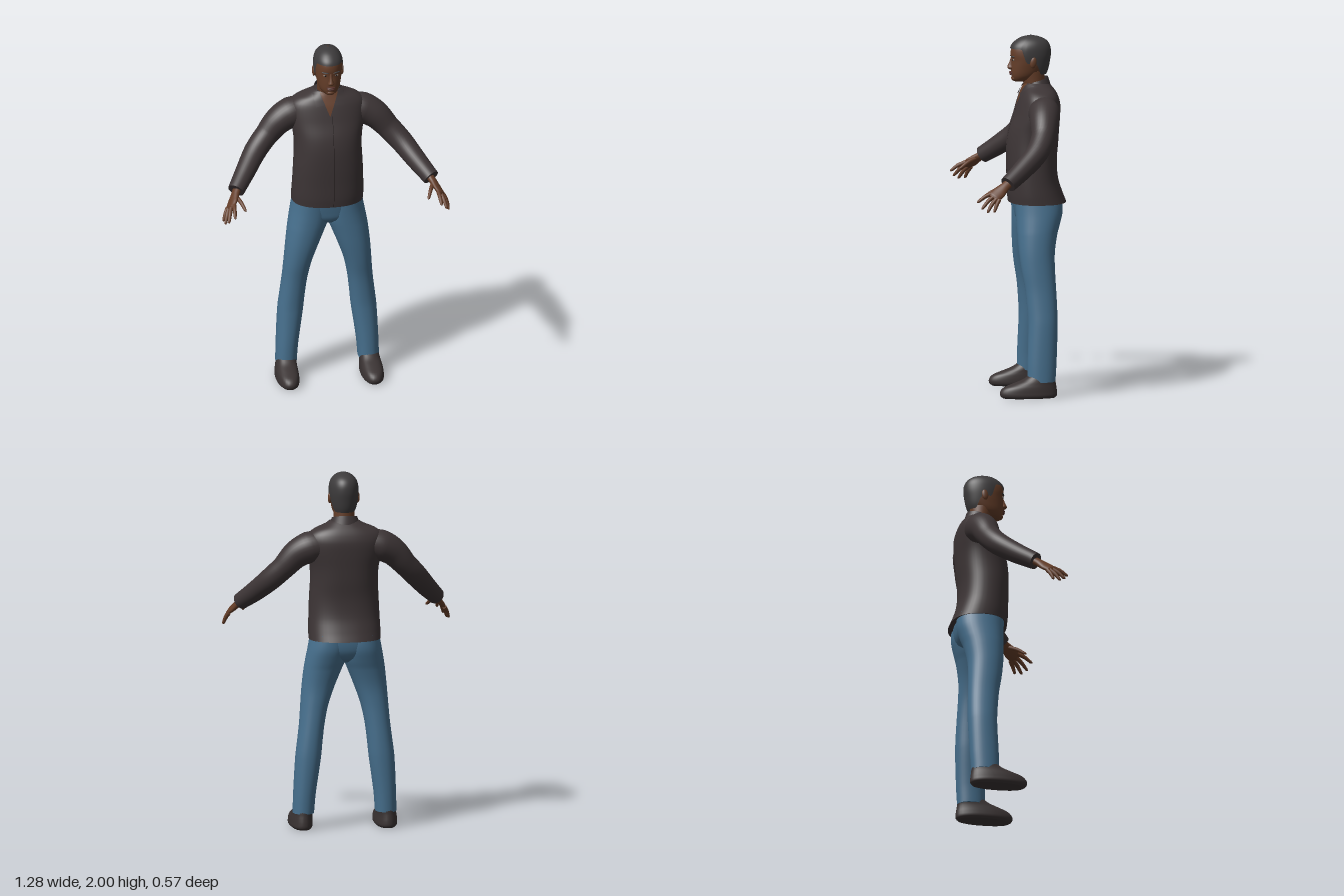
import * as THREE from 'three';

const mat = (name, color, side = THREE.FrontSide) => {
  const m = new THREE.MeshStandardMaterial({ color, side });
  m.name = name;
  return m;
};
const V = (x, y, z) => new THREE.Vector3(x, y, z);

// Closed or open surface through a list of rings, each an array of points
function skinRings(rings, caps = true) {
  const n = rings[0].length, pos = [], idx = [];
  const add = (p) => pos.push(p.x, p.y, p.z) / 3 - 1;
  rings.forEach((r) => r.forEach(add));
  for (let i = 0; i < rings.length - 1; i++) {
    for (let j = 0; j < n; j++) {
      const a = i * n + j, b = i * n + ((j + 1) % n);
      idx.push(a, a + n, b, b, a + n, b + n);
    }
  }
  if (caps) {
    [rings[0], rings[rings.length - 1]].forEach((r, top) => {
      const c = add(r.reduce((s, p) => s.add(p), V(0, 0, 0)).divideScalar(n));
      const start = r.map(add)[0];
      for (let j = 0; j < n; j++) {
        const a = start + j, b = start + ((j + 1) % n);
        if (top) idx.push(c, b, a); else idx.push(c, a, b);
      }
    });
  }
  return finish(pos, idx);
}

function finish(pos, idx) {
  const g = new THREE.BufferGeometry();
  g.setAttribute('position', new THREE.Float32BufferAttribute(pos, 3));
  g.setIndex(idx);
  g.computeVertexNormals();
  return g;
}

// Rows are [y, xMin, xMax, zBack, zFront]; smooth interpolation at height y
function sample(rows, y) {
  let i = 0;
  while (i < rows.length - 2 && y > rows[i + 1][0]) i++;
  const a = rows[i], b = rows[i + 1], p = rows[i - 1] || a, q = rows[i + 2] || b;
  const h = b[0] - a[0], t = THREE.MathUtils.clamp((y - a[0]) / h, 0, 1);
  return a.map((_, k) => {
    const m0 = (b[k] - p[k]) / (b[0] - p[0]) * h, m1 = (q[k] - a[k]) / (q[0] - a[0]) * h;
    return (2 * t ** 3 - 3 * t * t + 1) * a[k] + (t ** 3 - 2 * t * t + t) * m0
      + (3 * t * t - 2 * t ** 3) * b[k] + (t ** 3 - t * t) * m1;
  });
}
const pw = (v, n) => Math.sign(v) * Math.abs(v) ** (2 / n);
function pointAt(rows, y, a, n) {
  const [, x0, x1, z0, z1] = sample(rows, y);
  return V((x0 + x1) / 2 + (x1 - x0) / 2 * pw(Math.cos(a), n), y,
    (z0 + z1) / 2 + (z1 - z0) / 2 * pw(Math.sin(a), n));
}
const angles = (seg) => Array.from({ length: seg }, (_, j) => j / seg * Math.PI * 2);
function loft(rows, n = 2, seg = 36) {
  const ys = [rows[0][0]];
  for (let i = 1; i < rows.length; i++) {
    for (let k = 1; k <= 4; k++) ys.push(THREE.MathUtils.lerp(rows[i - 1][0], rows[i][0], k / 4));
  }
  return skinRings(ys.map((y) => angles(seg).map((a) => pointAt(rows, y, a, n))));
}
function frontZ(rows, x, y, n) {
  const [, x0, x1, z0, z1] = sample(rows, y);
  const u = Math.min(1, Math.abs((x - (x0 + x1) / 2) / ((x1 - x0) / 2)));
  return (z0 + z1) / 2 + (z1 - z0) / 2 * (1 - u ** n) ** (1 / n);
}
const sym = (list) => list.map(([y, w, zb, zf]) => [y, -w, w, zb, zf]);
const mirror = (rows, s) => rows.map(([y, a, b, c, d]) => (s > 0 ? [y, a, b, c, d] : [y, -b, -a, c, d]));

// Tapered tube: points are [x, y, z, width, thickness], thickness lying along ref
function limb(points, ref = V(0, 1, 0), seg = 24, steps = 5) {
  const curve = new THREE.CatmullRomCurve3(points.map((p) => V(p[0], p[1], p[2])));
  const count = (points.length - 1) * steps, rings = [];
  for (let i = 0; i <= count; i++) {
    const f = i / steps, k = Math.min(Math.floor(f), points.length - 2);
    const rad = (c) => THREE.MathUtils.lerp(points[k][c] ?? points[k][3], points[k + 1][c] ?? points[k + 1][3], f - k);
    const c = curve.getPoint(i / count), T = curve.getTangent(i / count);
    const N = T.clone().cross(ref).normalize(), B = T.clone().cross(N);
    rings.push(angles(seg).map((a) => c.clone()
      .addScaledVector(N, Math.cos(a) * rad(3)).addScaledVector(B, -Math.sin(a) * rad(4))));
  }
  return skinRings(rings);
}

// Thin patch lying on a loft's front: edges(t) gives [xLeft, yLeft, xRight, yRight]
function patch(rows, n, lift, edges, rowsN = 14, cols = 8) {
  const pos = [], idx = [];
  for (let i = 0; i <= rowsN; i++) {
    const [ax, ay, bx, by] = edges(i / rowsN);
    for (let j = 0; j <= cols; j++) {
      const x = ax + (bx - ax) * j / cols, y = ay + (by - ay) * j / cols;
      pos.push(x, y, frontZ(rows, x, y, n) + lift);
      if (i < rowsN && j < cols) {
        const a = i * (cols + 1) + j, b = a + cols + 1;
        idx.push(a, a + 1, b, a + 1, b + 1, b);
      }
    }
  }
  return finish(pos, idx);
}

const torsoRows = sym([
  [1.07, 0.2, -0.285, 0.035], [1.12, 0.2, -0.265, 0.04], [1.2, 0.197, -0.24, 0.042],
  [1.3, 0.193, -0.232, 0.045], [1.4, 0.188, -0.24, 0.043], [1.48, 0.193, -0.245, 0.03],
  [1.56, 0.21, -0.25, 0.003], [1.62, 0.215, -0.25, -0.015], [1.66, 0.205, -0.24, -0.028],
  [1.69, 0.17, -0.225, -0.04], [1.715, 0.11, -0.205, -0.05], [1.735, 0.075, -0.185, -0.058]]);
const headRows = sym([
  [1.742, 0.024, -0.06, 0], [1.755, 0.042, -0.1, 0.012], [1.78, 0.058, -0.135, 0.019],
  [1.82, 0.068, -0.165, 0.02], [1.86, 0.074, -0.18, 0.018], [1.9, 0.075, -0.19, 0.022],
  [1.94, 0.069, -0.185, 0.012], [1.97, 0.048, -0.16, -0.02], [1.985, 0.02, -0.12, -0.06]]);
const hairRows = sym([
  [1.76, 0.058, -0.165, 0.02], [1.8, 0.071, -0.185, 0.025], [1.86, 0.08, -0.198, 0.025],
  [1.9, 0.082, -0.203, 0.028], [1.94, 0.077, -0.198, 0.021], [1.97, 0.061, -0.178, -0.005],
  [1.99, 0.035, -0.14, -0.04], [2.0, 0.004, -0.095, -0.085]]);
const legRows = [
  [0.09, 0.172, 0.29, -0.198, -0.043], [0.2, 0.163, 0.287, -0.205, -0.044],
  [0.4, 0.135, 0.277, -0.213, -0.05], [0.5, 0.125, 0.265, -0.212, -0.045],
  [0.6, 0.112, 0.253, -0.208, -0.035], [0.7, 0.09, 0.245, -0.204, -0.018],
  [0.8, 0.055, 0.237, -0.205, -0.006], [0.9, 0.015, 0.226, -0.222, 0],
  [0.95, -0.005, 0.218, -0.237, 0.002], [1.02, -0.02, 0.205, -0.255, 0.005], [1.1, -0.02, 0.19, -0.255, 0.01]];
const shoeRows = [
  [0, 0.185, 0.288, -0.195, 0.095], [0.012, 0.175, 0.3, -0.205, 0.11], [0.035, 0.174, 0.3, -0.206, 0.112],
  [0.06, 0.176, 0.297, -0.203, 0.09], [0.08, 0.178, 0.292, -0.2, 0.04],
  [0.1, 0.178, 0.288, -0.198, -0.012], [0.125, 0.18, 0.283, -0.193, -0.05]];

export function createModel() {
  const skin = mat('skin', 0x643d28), shirt = mat('shirt', 0x3d3536, THREE.DoubleSide);
  const jeans = mat('jeans', 0x47708e), hair = mat('hair', 0x3d3b3c, THREE.DoubleSide);
  const shoe = mat('shoes', 0x3a3333), lip = mat('lips', 0x54302a);
  const eye = mat('eyeWhite', 0x8d7d72), dark = mat('darkDetail', 0x1d1717);
  const model = new THREE.Group();
  const put = (name, geo, m, parent = model) => {
    const mesh = new THREE.Mesh(geo, m);
    mesh.name = name;
    parent.add(mesh);
    return mesh;
  };
  const blob = (name, m, p, s, parent) => {
    const mesh = put(name, new THREE.SphereGeometry(1, 20, 14), m, parent);
    mesh.position.set(...p);
    mesh.scale.set(...s);
    return mesh;
  };

  // Shirt body, front seam and open neck
  put('shirtBody', loft(torsoRows, 2.35, 48), shirt);
  put('frontSeam', patch(torsoRows, 2.35, 0.002, (t) => [0.012, 1.075 + t * 0.53, 0.0145, 1.075 + t * 0.53], 20, 1), dark);
  put('openNeck', patch(torsoRows, 2.35, 0.003, (t) => {
    const w = 0.001 + 0.05 * t, y = 1.605 + 0.128 * t;
    return [-w, y, w, y];
  }), skin);
  // Collar band, higher at the back, open at the front
  const band = [];
  for (let i = 0; i <= 2; i++) {
    band.push(angles(40).map((a) => {
      const s = Math.sin(a), r = 1 - i * 0.1;
      return V(0.088 * r * Math.cos(a), 1.70 + i * 0.025 - s * 0.018 - (s > 0.5 ? (s - 0.5) * 0.07 * i : 0),
        -0.122 + 0.08 * r * s);
    }));
  }
  put('collarBand', skinRings(band, false), shirt);

  // Pelvis and neck
  put('pelvis', loft(sym([[0.94, 0.07, -0.18, -0.05], [0.97, 0.13, -0.225, -0.012],
    [1.02, 0.19, -0.25, 0.002], [1.1, 0.192, -0.258, 0.015]]), 2.3), jeans);
  put('neck', loft(sym([[1.68, 0.062, -0.175, -0.065], [1.73, 0.058, -0.168, -0.05],
    [1.8, 0.058, -0.165, -0.03]])), skin);

  // Head
  const head = new THREE.Group();
  head.name = 'head';
  model.add(head);
  put('face', loft(headRows, 2.1, 40), skin, head);
  put('nose', loft(sym([[1.808, 0.008, 0, 0.026], [1.814, 0.017, 0, 0.036], [1.822, 0.018, 0, 0.041],
    [1.835, 0.012, 0, 0.037], [1.855, 0.009, 0, 0.028], [1.88, 0.009, 0, 0.02]]), 2, 20), skin, head);
  blob('upperLip', lip, [0, 1.793, 0.016], [0.025, 0.006, 0.014], head);
  blob('lowerLip', lip, [0, 1.783, 0.015], [0.022, 0.007, 0.014], head);
  blob('chin', skin, [0, 1.76, 0.001], [0.026, 0.016, 0.018], head);

  // Hair: cap from a shaped hairline up to the crown
  const step = THREE.MathUtils.smoothstep;
  const hairRings = [];
  for (let i = 0; i <= 24; i++) {
    hairRings.push(angles(64).map((a) => {
      const s = Math.sin(a), low = 1.85 + 0.078 * step(s, 0.22, 0.5) - 0.067 * step(-s, 0.15, 0.65);
      const u = 1 - (1 - i / 24) ** 1.6;
      return pointAt(hairRows, low + (2 - low) * u, a, 2.1);
    }));
  }
  put('hair', skinRings(hairRings, false), hair, head);

  for (const s of [1, -1]) {
    const side = s > 0 ? 'left' : 'right';
    const at = (pts) => pts.map(([x, ...r]) => [x * s, ...r]);

    // Face details
    const ez = frontZ(headRows, 0.03, 1.866, 2.1);
    blob(side + 'Ear', skin, [0.079 * s, 1.855, -0.095], [0.01, 0.031, 0.018], head).rotation.x = -0.15;
    blob(side + 'Eye', eye, [0.03 * s, 1.866, ez - 0.001], [0.013, 0.005, 0.005], head);
    blob(side + 'Iris', dark, [0.03 * s, 1.866, ez + 0.002], [0.006, 0.005, 0.004], head);
    const brow = blob(side + 'Brow', hair, [0.032 * s, 1.884, ez + 0.003], [0.021, 0.004, 0.006], head);
    brow.rotation.set(0, 0.35 * s, 0.08 * s);

    // Collar wing
    put(side + 'CollarWing', patch(torsoRows, 2.35, 0.008, (t) => {
      const k = [0.026 + 0.029 * t, 1.672 + 0.06 * t], o = [0.078 + 0.012 * t, 1.66 + 0.065 * t];
      return s > 0 ? [...k, ...o] : [-o[0], o[1], -k[0], k[1]];
    }), shirt);

    // Sleeve
    put(side + 'Sleeve', limb(at([[0.12, 1.6, -0.14, 0.08], [0.2, 1.588, -0.14, 0.088], [0.27, 1.55, -0.13, 0.079],
      [0.34, 1.475, -0.115, 0.066], [0.41, 1.4, -0.072, 0.063], [0.48, 1.32, 0.015, 0.056],
      [0.548, 1.248, 0.108, 0.047]]), undefined, 32), shirt);

    // Hand: flat palm, four fingers and a thumb
    const hand = new THREE.Group();
    hand.name = side + 'Hand';
    model.add(hand);
    const palmNormal = V(0.04 * s, -0.055, 0.08).cross(V(0.035 * s, -0.035, -0.045)).normalize();
    put('palm', limb(at([[0.535, 1.262, 0.09, 0.026, 0.022], [0.555, 1.235, 0.127, 0.028, 0.02],
      [0.575, 1.207, 0.162, 0.038, 0.017], [0.592, 1.186, 0.19, 0.036, 0.014],
      [0.597, 1.18, 0.198, 0.024, 0.007]]), palmNormal), skin, hand);
    const fingers = [
      ['indexFinger', [0.573, 1.203, 0.2], [0.58, 1.155, 0.285]],
      ['middleFinger', [0.588, 1.19, 0.192], [0.613, 1.122, 0.264]],
      ['ringFinger', [0.6, 1.177, 0.18], [0.628, 1.104, 0.235]],
      ['littleFinger', [0.605, 1.172, 0.165], [0.634, 1.106, 0.197]],
      ['thumb', [0.552, 1.228, 0.142], [0.512, 1.177, 0.24]]];
    for (const [name, a, b] of fingers) {
      const mix = (t, r, bend = 0) => [...a.map((v, k) => v + (b[k] - v) * t + (k === 1 ? bend : 0)), r];
      put(name, limb(at([mix(0, 0.012), mix(0.5, 0.011, 0.006), mix(0.9, 0.008), mix(1, 0.003)]),
        palmNormal, 12, 4), skin, hand);
    }

    // Trouser leg and shoe
    put(side + 'TrouserLeg', loft(mirror(legRows, s), 2.2), jeans);
    put(side + 'Shoe', loft(mirror(shoeRows, s), 2.3), shoe);
  }
  return model;
}
